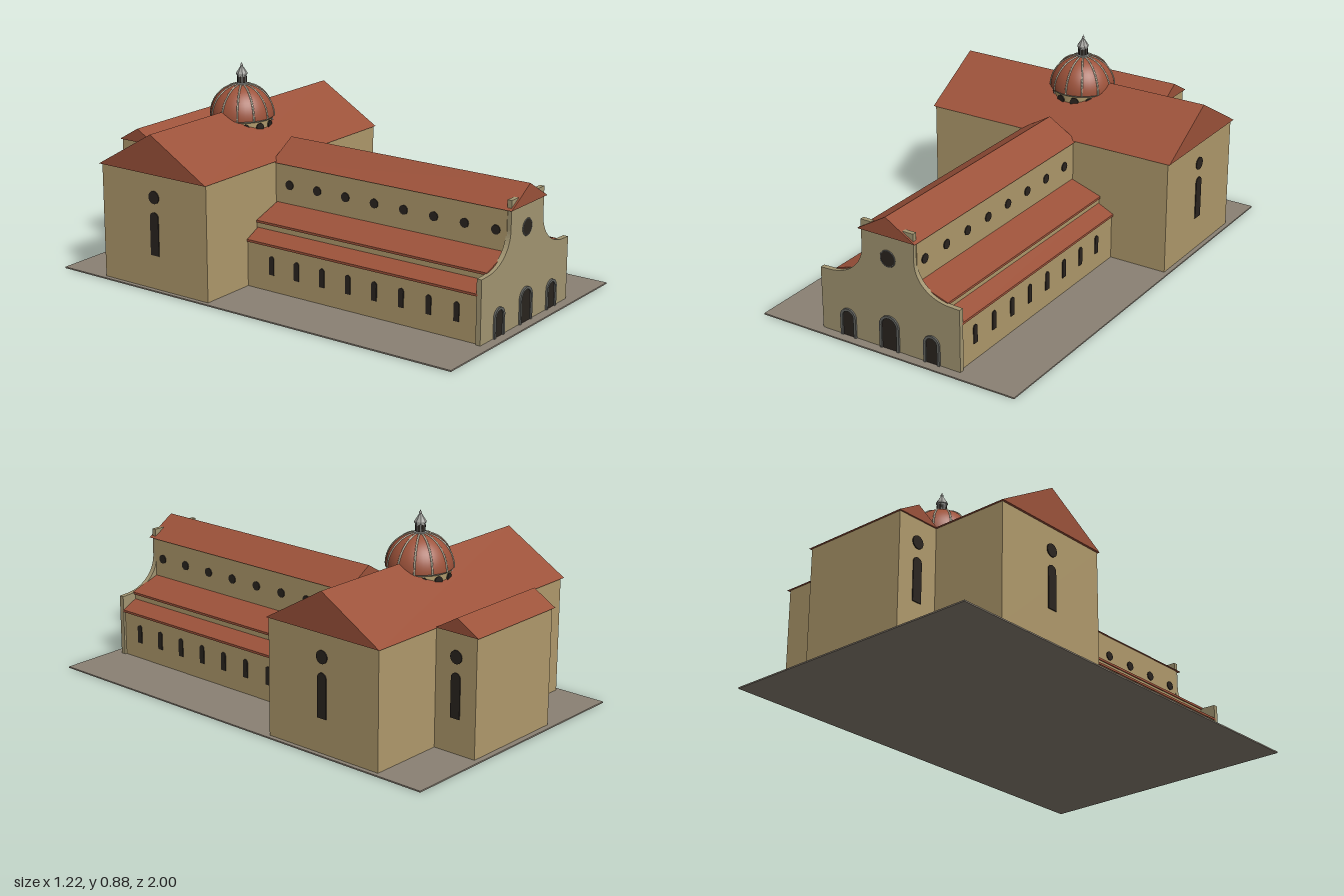
import * as THREE from 'three';

const mat = (color) => new THREE.MeshStandardMaterial({ color, side: THREE.DoubleSide });
const WALL = mat(0xb09a6c), FACADE = mat(0xa39672), ROOF = mat(0x9c523a), DARK = mat(0x2a241f);
const GROUND = mat(0x8a8174), STONE = mat(0xb5ad98), FRAME = mat(0x62635f), LANTERN = mat(0x9d9d98);

export function createModel() {
  const root = new THREE.Group();

  const add = (name, geometry, material, x = 0, y = 0, z = 0, parent = root) => {
    const mesh = new THREE.Mesh(geometry, material);
    mesh.name = name;
    mesh.position.set(x, y, z);
    parent.add(mesh);
    return mesh;
  };
  const box = (name, material, x0, x1, y0, y1, z0, z1) =>
    add(name, new THREE.BoxGeometry(x1 - x0, y1 - y0, z1 - z0), material, (x0 + x1) / 2, (y0 + y1) / 2, (z0 + z1) / 2);
  const extrude = (shape, depth) =>
    new THREE.ExtrudeGeometry(shape, { depth, bevelEnabled: false, curveSegments: 16 });
  const polygon = (points) => new THREE.Shape(points.map(([x, y]) => new THREE.Vector2(x, y)));
  // Round-headed opening standing on its own origin
  const arch = (w, h) => {
    const s = new THREE.Shape();
    s.moveTo(-w / 2, 0);
    s.lineTo(w / 2, 0);
    s.lineTo(w / 2, h - w / 2);
    s.absarc(0, h - w / 2, w / 2, 0, Math.PI, false);
    s.closePath();
    return s;
  };
  const disc = (r) => new THREE.Shape().absarc(0, 0, r, 0, Math.PI * 2, false);
  // Thin dark opening on a wall facing +x or -x
  const sideOpening = (name, shape, side, x, y, z) => {
    add(name, extrude(shape, 0.008), DARK, side * (x - 0.004), y, z).rotation.y = side * Math.PI / 2;
  };
  // Gabled roof whose ridge runs along x
  const crossRoof = (name, halfX, z0, z1, eave, ridge) => {
    const d = (z1 - z0) / 2;
    const g = extrude(polygon([[-d, eave], [d, eave], [0, ridge]]), halfX * 2);
    g.translate(0, 0, -halfX);
    add(name, g, ROOF, 0, 0, (z0 + z1) / 2).rotation.y = Math.PI / 2;
  };

  box('ground', GROUND, -0.61, 0.61, 0, 0.006, -1, 1);

  // Transept and choir
  box('transeptWalls', WALL, -0.59, 0.59, 0.004, 0.512, -0.775, -0.205);
  crossRoof('transeptRoof', 0.6, -0.785, -0.2, 0.51, 0.682);
  box('choirWalls', WALL, -0.245, 0.245, 0.004, 0.512, -0.975, -0.77);
  crossRoof('choirRoof', 0.252, -0.985, -0.775, 0.51, 0.572);

  // Nave with gabled roof
  box('naveWalls', WALL, -0.128, 0.128, 0.004, 0.507, -0.21, 0.94);
  add('naveRoof', extrude(polygon([[-0.138, 0.505], [0.138, 0.505], [0, 0.588]]), 1.185), ROOF, 0, 0, -0.22);

  for (const s of [1, -1]) {
    const mirrored = (points) => polygon(points.map(([x, y]) => [x * s, y]));

    // Stepped side aisles with lean-to roofs
    add('aisleWalls', extrude(mirrored([
      [0.12, 0.004], [0.325, 0.004], [0.325, 0.212], [0.262, 0.242], [0.262, 0.278], [0.12, 0.322],
    ]), 1.145), WALL, 0, 0, -0.205);
    add('upperAisleRoof', extrude(mirrored([[0.12, 0.322], [0.27, 0.274], [0.27, 0.284], [0.12, 0.334]]), 1.14), ROOF, 0, 0, -0.2);
    add('lowerAisleRoof', extrude(mirrored([[0.255, 0.243], [0.335, 0.206], [0.335, 0.216], [0.255, 0.254]]), 1.14), ROOF, 0, 0, -0.2);

    for (let i = 0; i < 8; i++) {
      sideOpening('aisleWindow', arch(0.025, 0.082), s, 0.325, 0.08, 0.84 - 0.131 * i);
      sideOpening('clerestoryWindow', disc(0.02), s, 0.128, 0.415, 0.89 - 0.146 * i);
    }

    // Gable-end windows of transept and choir
    for (const [x, z] of [[0.59, -0.488], [0.245, -0.876]]) {
      sideOpening('tallWindow', arch(0.045, 0.19), s, x, 0.155, z);
      sideOpening('roundWindow', disc(0.028), s, x, 0.41, z);
    }
    const bx = s * 0.1;
    box('gableShoulder', FACADE, bx - 0.025, bx + 0.025, 0.5, 0.545, 0.937, 0.957);
  }

  // Front screen wall with concave shoulders
  const front = new THREE.Shape();
  front.moveTo(-0.335, 0.004);
  front.lineTo(0.335, 0.004);
  front.lineTo(0.335, 0.278);
  front.lineTo(0.285, 0.28);
  front.bezierCurveTo(0.2, 0.285, 0.128, 0.34, 0.125, 0.42);
  front.lineTo(0.125, 0.505);
  front.lineTo(0, 0.582);
  front.lineTo(-0.125, 0.505);
  front.lineTo(-0.125, 0.42);
  front.bezierCurveTo(-0.128, 0.34, -0.2, 0.285, -0.285, 0.28);
  front.lineTo(-0.335, 0.278);
  front.closePath();
  add('facade', extrude(front, 0.022), FACADE, 0, 0, 0.935);

  // Doors with raised surrounds, and the round window
  for (const [x, w, h] of [[-0.203, 0.054, 0.113], [0, 0.072, 0.14], [0.203, 0.054, 0.113]]) {
    const surround = arch(w + 0.022, h + 0.011);
    surround.holes.push(arch(w, h));
    add('doorSurround', extrude(surround, 0.012), FRAME, x, 0.005, 0.953);
    add('door', extrude(arch(w, h), 0.006), DARK, x, 0.005, 0.953);
  }
  add('roseWindow', extrude(disc(0.033), 0.006), DARK, 0, 0.406, 0.953);
  add('roseSurround', new THREE.TorusGeometry(0.034, 0.003, 6, 32), FRAME, 0, 0.406, 0.957);

  // Dome on a drum over the crossing
  const dome = new THREE.Group();
  dome.name = 'dome';
  dome.position.set(0, 0, -0.49);
  root.add(dome);
  const R = 0.14, base = 0.644;
  add('drum', new THREE.CylinderGeometry(0.128, 0.128, 0.145, 48), WALL, 0, 0.572, 0, dome);
  add('drumCornice', new THREE.CylinderGeometry(0.141, 0.133, 0.008, 48), STONE, 0, base - 0.003, 0, dome);
  add('domeShell', new THREE.SphereGeometry(R, 48, 16, 0, Math.PI * 2, 0, Math.PI / 2), ROOF, 0, base, 0, dome);
  for (let i = 0; i < 12; i++) {
    const a = i * Math.PI / 6;
    add('domeRib', new THREE.TorusGeometry(R, 0.0042, 6, 16, Math.PI / 2), STONE, 0, base, 0, dome).rotation.y = a;
    const b = a + Math.PI / 12;
    add('drumWindow', extrude(disc(0.019), 0.01), DARK,
      0.122 * Math.sin(b), 0.612, 0.122 * Math.cos(b), dome).rotation.y = b;
  }

  // Lantern with openings, conical cap and finial
  const profile = [[0, 0.775], [0.028, 0.775], [0.028, 0.787], [0.021, 0.789], [0.021, 0.822], [0.025, 0.824],
    [0.025, 0.831], [0.005, 0.862], [0, 0.864]].map(([x, y]) => new THREE.Vector2(x, y));
  const lantern = new THREE.LatheGeometry(profile, 8).toNonIndexed();
  lantern.computeVertexNormals();
  add('lantern', lantern, LANTERN, 0, 0, 0, dome);
  for (let i = 0; i < 8; i++) {
    const a = (i + 0.5) * Math.PI / 4;
    add('lanternOpening', extrude(arch(0.01, 0.028), 0.003), DARK,
      0.0182 * Math.sin(a), 0.79, 0.0182 * Math.cos(a), dome).rotation.y = a;
  }
  add('finialBall', new THREE.SphereGeometry(0.006, 12, 8), LANTERN, 0, 0.866, 0, dome);
  add('finialSpike', new THREE.CylinderGeometry(0.0015, 0.0015, 0.014, 6), LANTERN, 0, 0.871, 0, dome);

  return root;
}
